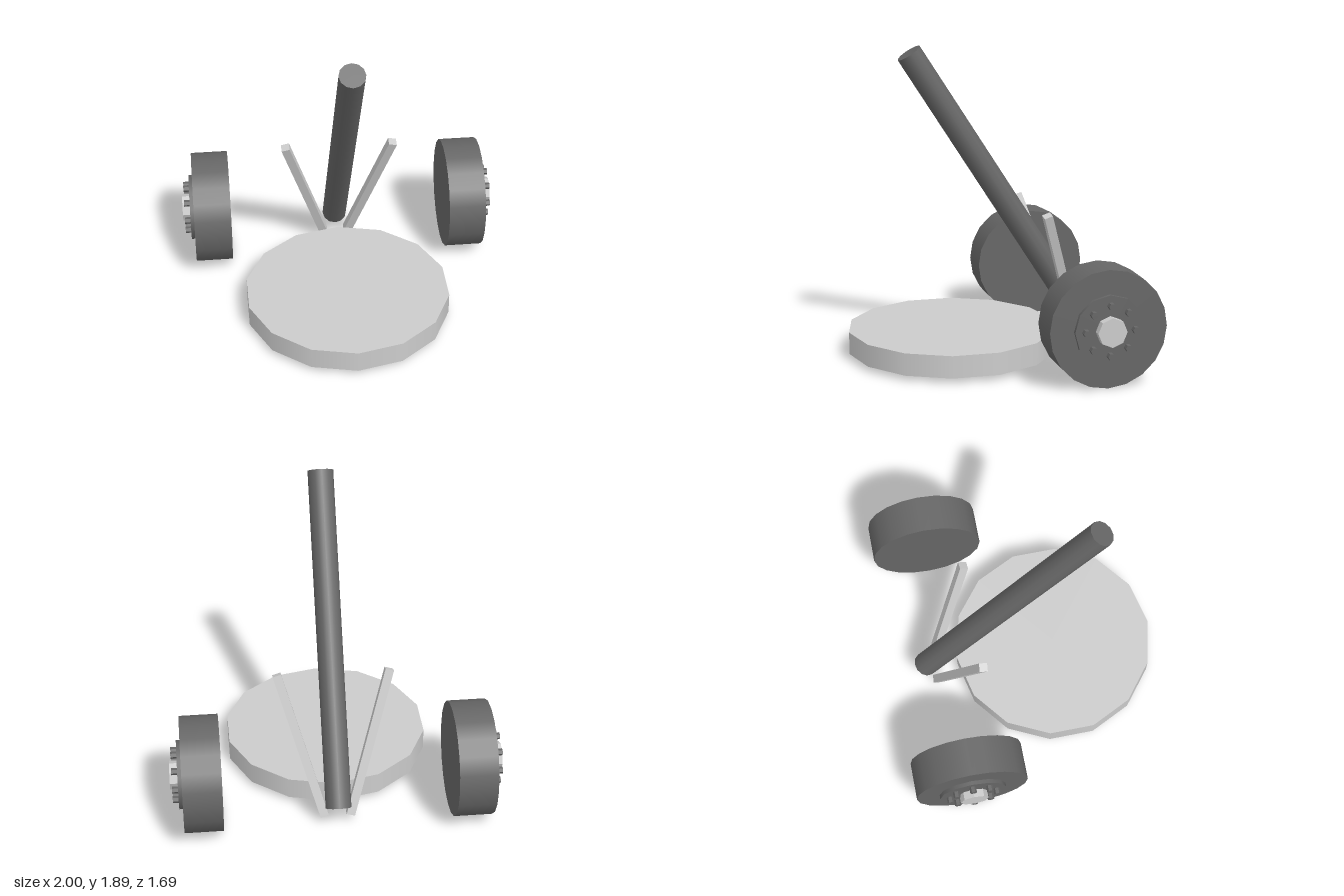
import * as THREE from 'three';

const grey = new THREE.MeshStandardMaterial({ color: 0xcccccc });
const greyFlat = new THREE.MeshStandardMaterial({ color: 0xcccccc, flatShading: true });
const dark = new THREE.MeshStandardMaterial({ color: 0x666666 });
const darkFlat = new THREE.MeshStandardMaterial({ color: 0x666666, flatShading: true });

function add(parent, name, geometry, material) {
  const mesh = new THREE.Mesh(geometry, material);
  mesh.name = name;
  parent.add(mesh);
  return mesh;
}

// Cylinder lying along x between x0 and x1
function axleCylinder(radius, x0, x1, sides) {
  return new THREE.CylinderGeometry(radius, radius, x1 - x0, sides)
    .rotateZ(-Math.PI / 2)
    .translate((x0 + x1) / 2, 0, 0);
}

// Wheel whose outer side faces +x
function makeWheel(name) {
  const wheel = new THREE.Group();
  wheel.name = name;
  add(wheel, 'tyre', axleCylinder(0.35, 0.695, 0.928, 20), dark);
  add(wheel, 'hubPlate', axleCylinder(0.208, 0.9, 0.952, 12), dark);
  add(wheel, 'hubCap', axleCylinder(0.087, 0.93, 1.0, 8), greyFlat);
  for (let i = 0; i < 8; i++) {
    const a = (i * Math.PI) / 4;
    const bolt = add(wheel, 'bolt', axleCylinder(0.021, 0.94, 0.988, 6), darkFlat);
    bolt.position.set(0, 0.147 * Math.cos(a), 0.147 * Math.sin(a));
  }
  return wheel;
}

export function createModel() {
  const model = new THREE.Group();
  model.name = 'wheeledBase';

  // Flat round base
  const base = add(model, 'base', new THREE.CylinderGeometry(0.637, 0.637, 0.135, 14), grey);
  base.position.set(0, 0.0975, 0.207);

  // Leaning pole
  const top = new THREE.Vector3(0, 1.85, 0.46);
  const bottom = new THREE.Vector3(0, 0.14, -0.64);
  const lean = new THREE.Vector3().subVectors(top, bottom);
  const pole = add(model, 'pole', new THREE.CylinderGeometry(0.078, 0.078, lean.length(), 12), dark);
  pole.position.addVectors(top, bottom).multiplyScalar(0.5);
  pole.rotation.x = Math.atan2(lean.z, lean.y);

  for (const side of [1, -1]) {
    // Splayed square struts beside the pole
    const strut = add(model, side > 0 ? 'leftStrut' : 'rightStrut',
      new THREE.BoxGeometry(0.052, 0.935, 0.052), grey);
    strut.position.set(side * 0.208, 0.47, -0.44);
    strut.rotation.set(0.316, 0, -side * 0.279);

    // Wheels
    const wheel = makeWheel(side > 0 ? 'leftWheel' : 'rightWheel');
    wheel.position.set(0, 0.35, -0.493);
    if (side < 0) wheel.rotation.y = Math.PI;
    model.add(wheel);
  }
  return model;
}
